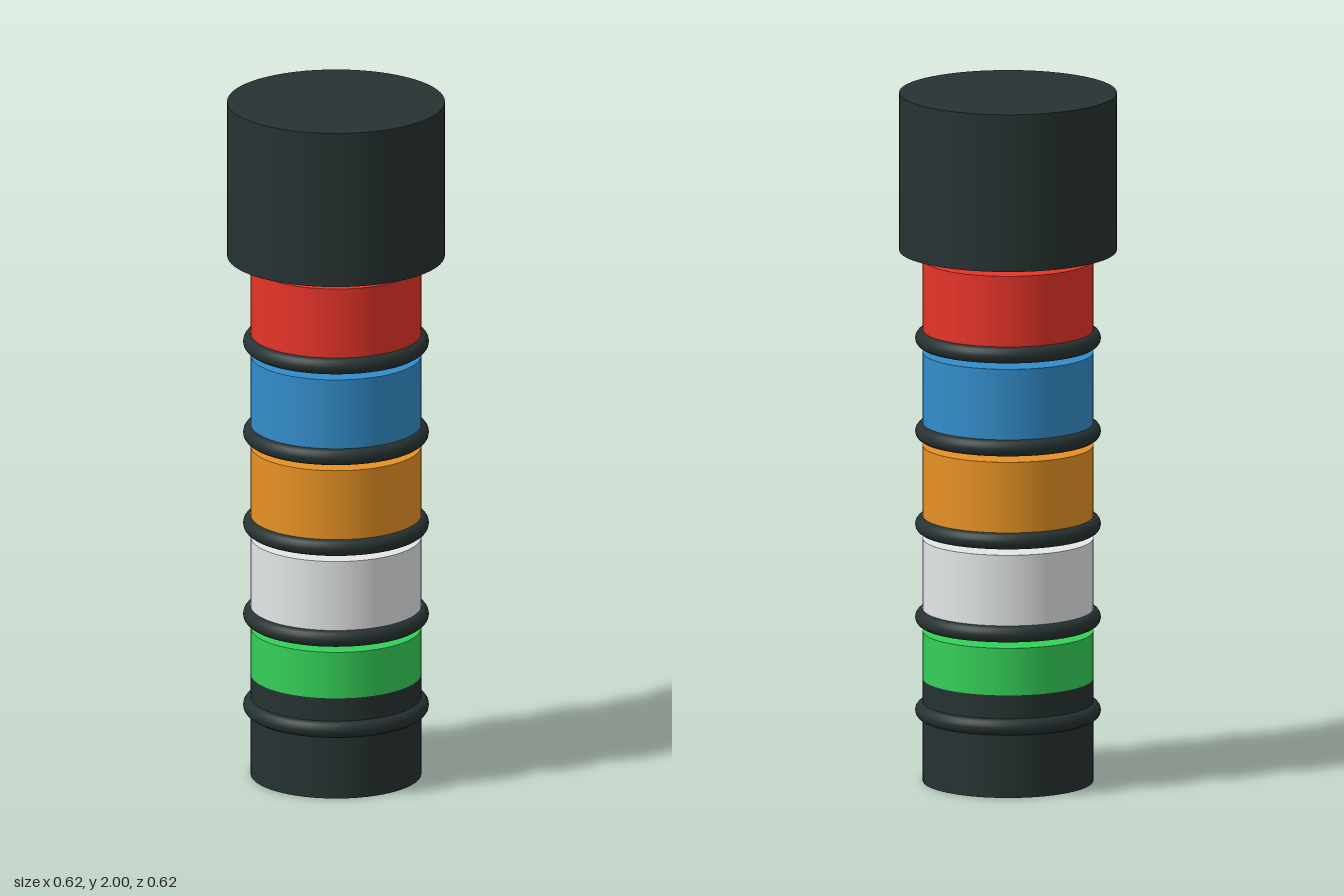
import * as THREE from 'three';

const paint = (name, color) => {
  const m = new THREE.MeshStandardMaterial({ color });
  m.name = name;
  return m;
};

export function createModel() {
  const model = new THREE.Group();
  model.name = 'stackLight';

  const dark = paint('charcoal', 0x273232);
  const lenses = [
    ['green', 0x34d058],
    ['white', 0xe8ebec],
    ['orange', 0xec9526],
    ['blue', 0x338dca],
    ['red', 0xe73429],
  ];

  const add = (name, geometry, material, y) => {
    const mesh = new THREE.Mesh(geometry, material);
    mesh.name = name;
    mesh.position.y = y;
    model.add(mesh);
    return mesh;
  };
  // Closed drum between two heights
  const drum = (name, radius, bottom, top, material) =>
    add(name, new THREE.CylinderGeometry(radius, radius, top - bottom, 64), material, (bottom + top) / 2);

  // Base and wide cap
  const baseTop = 0.298;
  drum('base', 0.243, 0, baseTop, dark);
  drum('cap', 0.31, 1.543, 2, dark);

  // Coloured segments, each with a dark ring round its bottom edge
  const ringGeometry = new THREE.TorusGeometry(0.24, 0.0245, 16, 64).rotateX(Math.PI / 2);
  lenses.forEach(([name, color], i) => {
    const ringY = 0.206 + i * 0.2703;
    drum(name + 'Segment', 0.243, Math.max(ringY, baseTop), ringY + 0.229, paint(name, color));
    add(name + 'Ring', ringGeometry, dark, ringY);
  });

  return model;
}
